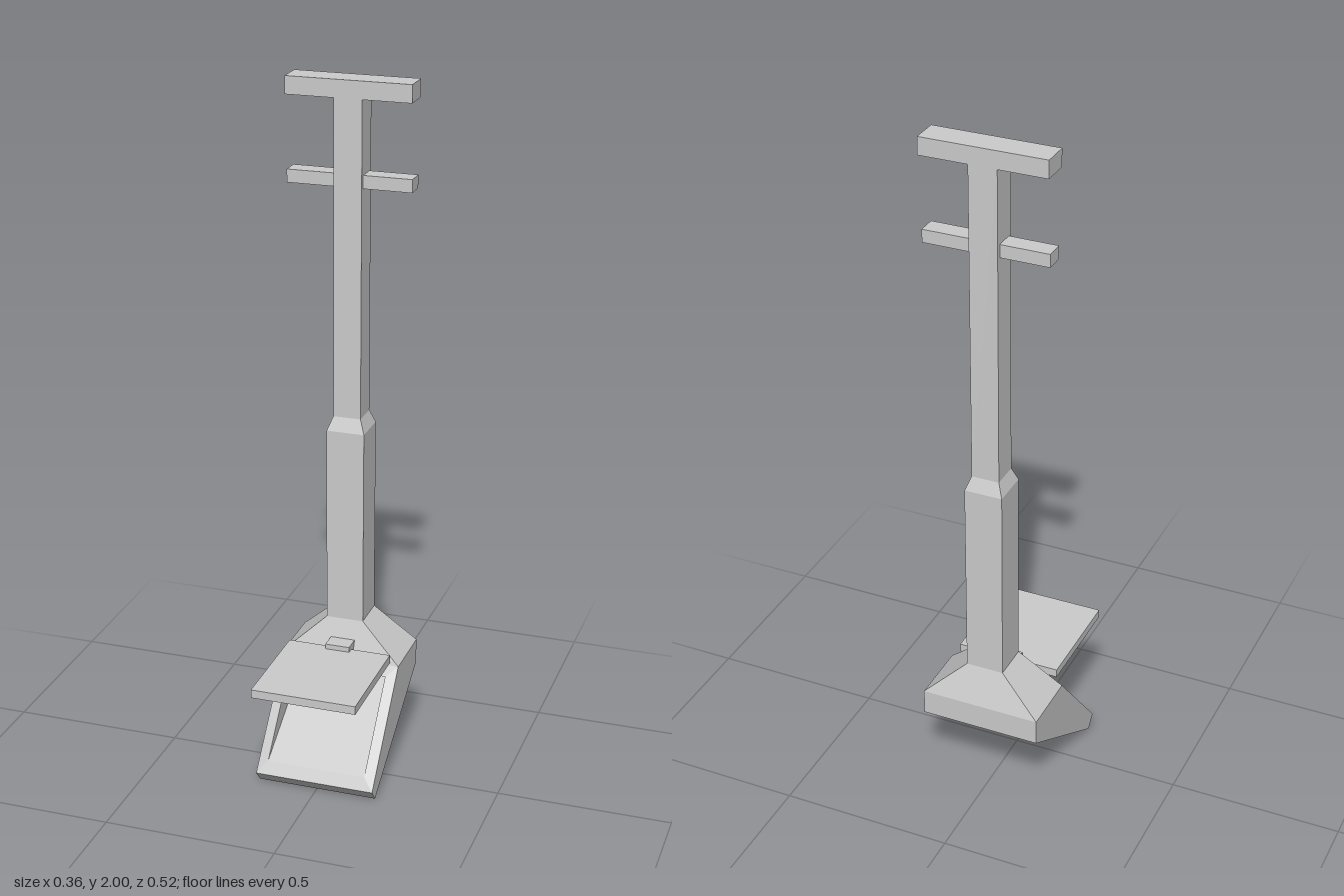
import * as THREE from 'three';

const material = new THREE.MeshStandardMaterial({ color: 0xcccccc, flatShading: true });
const POLE_Z = -0.1675;

// Box between two corners
function box(name, [x0, y0, z0], [x1, y1, z1]) {
  const geometry = new THREE.BoxGeometry(x1 - x0, y1 - y0, z1 - z0);
  geometry.translate((x0 + x1) / 2, (y0 + y1) / 2, (z0 + z1) / 2);
  const mesh = new THREE.Mesh(geometry, material);
  mesh.name = name;
  return mesh;
}

// Rectangular column on the pole axis, from half sizes [x, z] at y0 to those at y1
function column(name, y0, [bx, bz], y1, [tx, tz]) {
  const geometry = new THREE.BoxGeometry(2, y1 - y0, 2);
  const p = geometry.attributes.position;
  for (let i = 0; i < p.count; i++) {
    const top = p.getY(i) > 0;
    p.setX(i, p.getX(i) * (top ? tx : bx));
    p.setZ(i, p.getZ(i) * (top ? tz : bz));
  }
  geometry.translate(0, (y0 + y1) / 2, POLE_Z);
  geometry.computeVertexNormals();
  const mesh = new THREE.Mesh(geometry, material);
  mesh.name = name;
  return mesh;
}

// Wedge-shaped pan with a sloping open front and a hollow pocket
function scoop() {
  const positions = [];
  const face = (...c) => {
    for (let i = 1; i < c.length - 1; i++) positions.push(...c[0], ...c[i], ...c[i + 1]);
  };
  const at = (x, [z, y]) => [x, y, z];
  const W = 0.175, w = 0.145;

  // Side profile as [z, y]: back bottom, back top, shoulder, lip, toe
  const profile = [[-0.26, 0.24], [-0.26, 0.315], [-0.075, 0.315], [0.17, 0.035], [0.14, 0]];
  face(...profile.map((p) => at(W, p)));
  face(...profile.map((p) => at(-W, p)).reverse());
  profile.forEach((p, i) => {
    if (i === 2) return; // open front
    const q = profile[(i + 1) % profile.length];
    face(at(-W, p), at(-W, q), at(W, q), at(W, p));
  });

  // Bevelled rim, then the pocket walls running back to one deep edge
  const loop = (x, top, bottom) => [at(-x, top), at(-x, bottom), at(x, bottom), at(x, top)];
  const deep = [-0.15, 0.24];
  const rings = [
    loop(W, profile[2], profile[3]),
    loop(w, [-0.045, 0.293], [0.15, 0.07]),
    loop(w, deep, deep),
  ];
  for (let r = 0; r < 2; r++) {
    for (let i = 0; i < 4; i++) {
      const j = (i + 1) % 4;
      face(rings[r][i], rings[r][j], rings[r + 1][j], rings[r + 1][i]);
    }
  }

  const geometry = new THREE.BufferGeometry();
  geometry.setAttribute('position', new THREE.Float32BufferAttribute(positions, 3));
  geometry.computeVertexNormals();
  const mesh = new THREE.Mesh(geometry, material);
  mesh.name = 'scoop';
  return mesh;
}

export function createModel() {
  const group = new THREE.Group();
  group.name = 'longHandledScoop';

  // Pan, lid and hinge
  group.add(
    scoop(),
    box('lid', [-0.153, 0.33, -0.063], [0.153, 0.355, 0.26]),
    box('hinge', [-0.036, 0.315, -0.095], [0.036, 0.37, -0.043]),
  );

  // Handle, from the socket upwards
  const thick = [0.055, 0.0555], thin = [0.04, 0.0405];
  group.add(
    column('socket', 0.315, [0.175, 0.0925], 0.425, thick),
    column('lowerPole', 0.425, thick, 1.005, thick),
    column('poleCollar', 1.005, thick, 1.045, thin),
    column('upperPole', 1.045, thin, 1.95, thin),
    column('crossBar', 1.705, [0.178, 0.0275], 1.742, [0.178, 0.0275]),
    column('topGrip', 1.95, [0.178, 0.0405], 2, [0.178, 0.0405]),
  );
  return group;
}
